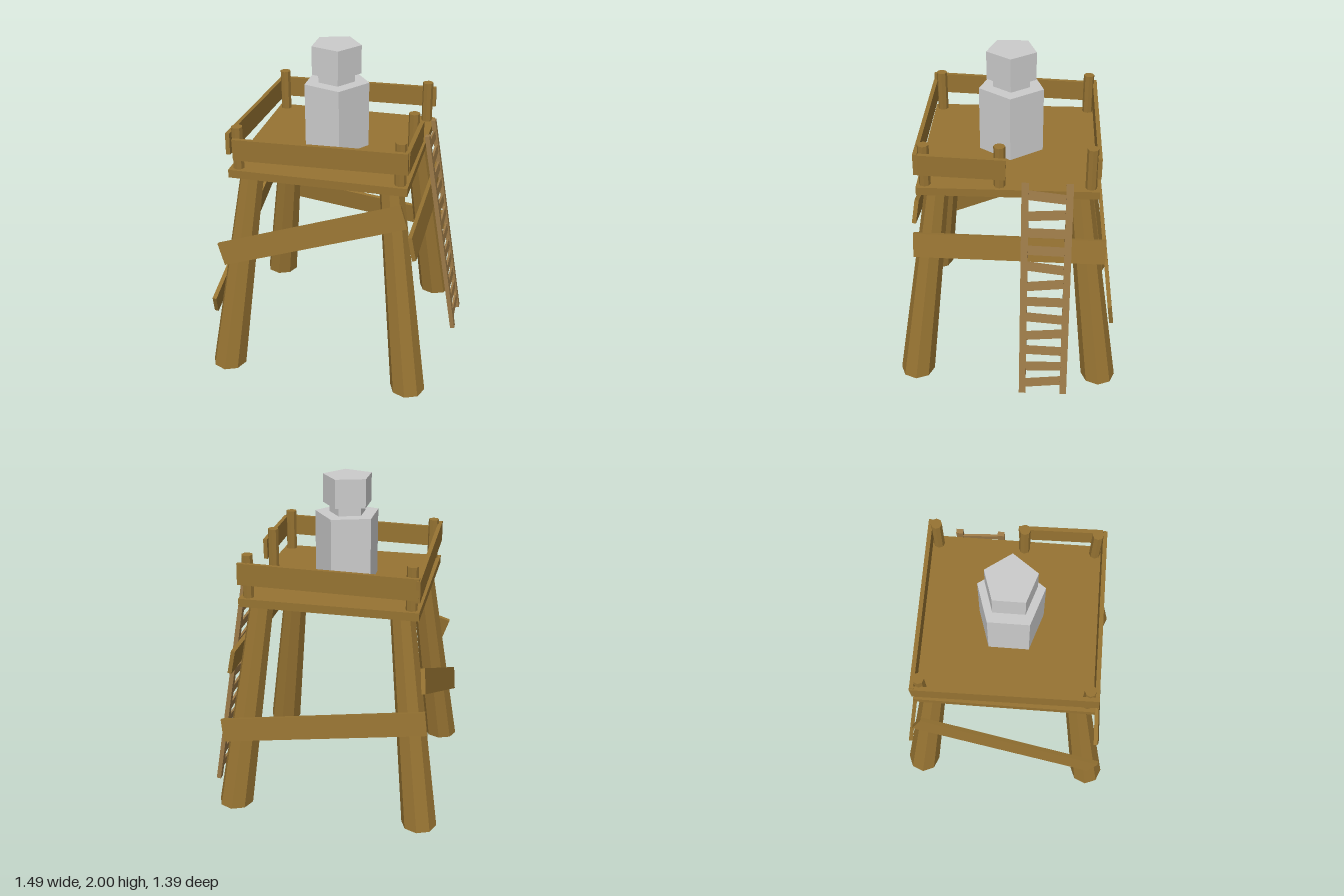
import * as THREE from 'three';

const material = (color) => new THREE.MeshStandardMaterial({ color, flatShading: true });
const V = (x, y, z) => new THREE.Vector3(x, y, z);

export function createModel() {
  const group = new THREE.Group();
  const wood = material(0x967332);
  const ladderWood = material(0x9c7a48);
  const stone = material(0xcccccc);
  const CX = -0.053; // centre of the wooden frame

  const add = (name, geometry, mat, parent = group) => {
    const mesh = new THREE.Mesh(geometry, mat);
    mesh.name = name;
    parent.add(mesh);
    return mesh;
  };

  // Board between two end centres, its broad face turned towards "outward"
  const board = (name, a, b, width, thickness, outward, mat = wood, parent = group) => {
    const along = b.clone().sub(a);
    const mesh = add(name, new THREE.BoxGeometry(along.length(), width, thickness), mat, parent);
    const x = along.clone().normalize();
    const z = outward.clone().addScaledVector(x, -outward.dot(x)).normalize();
    const y = z.clone().cross(x);
    mesh.quaternion.setFromRotationMatrix(new THREE.Matrix4().makeBasis(x, y, z));
    mesh.position.copy(a).add(b).multiplyScalar(0.5);
    return mesh;
  };

  // Four splayed, tapered legs with level ends
  for (const sx of [-1, 1]) {
    for (const sz of [-1, 1]) {
      const geometry = new THREE.CylinderGeometry(0.072, 0.108, 1.32, 8);
      const p = geometry.attributes.position;
      for (let i = 0; i < p.count; i++) {
        const offset = 0.585 - 0.165 * (p.getY(i) / 1.32 + 0.5);
        p.setX(i, p.getX(i) + sx * offset);
        p.setZ(i, p.getZ(i) + sz * offset);
      }
      geometry.computeVertexNormals();
      add(`${sz > 0 ? 'front' : 'back'}${sx > 0 ? 'Left' : 'Right'}Leg`, geometry, wood)
        .position.set(CX, 0.66, 0);
    }
  }

  // Platform
  add('platform', new THREE.BoxGeometry(1.065, 0.05, 1.065), wood).position.set(CX, 1.335, 0);

  // Railing posts: the corners plus one beside the ladder opening
  for (const [x, z] of [[-0.535, -0.483], [0.43, -0.483], [-0.535, 0.483], [0.43, 0.483], [0.43, 0.048]]) {
    add('railingPost', new THREE.CylinderGeometry(0.034, 0.034, 0.28, 8), wood).position.set(x, 1.48, z);
  }

  // Slightly crooked railing boards
  board('frontRailing', V(-0.55, 1.493, 0.527), V(0.48, 1.513, 0.527), 0.13, 0.025, V(0, 0, 1));
  board('backRailing', V(0.48, 1.512, -0.523), V(-0.58, 1.497, -0.523), 0.13, 0.025, V(0, 0, -1));
  board('rightRailing', V(-0.575, 1.485, -0.535), V(-0.575, 1.53, 0.54), 0.13, 0.025, V(-1, 0, 0));
  board('leftRailing', V(0.473, 1.513, 0.515), V(0.473, 1.493, 0.01), 0.13, 0.025, V(1, 0, 0));

  // Cross boards nailed to the leaning legs
  board('frontBrace', V(-0.64, 0.81, 0.59), V(0.47, 1.185, 0.545), 0.142, 0.025, V(0, 0.13, 1));
  board('backBrace', V(0.58, 0.53, -0.637), V(-0.66, 0.705, -0.605), 0.142, 0.025, V(0, 0.13, -1));
  board('leftBrace', V(0.523, 0.985, 0.56), V(0.523, 0.968, -0.585), 0.152, 0.025, V(1, 0.2, 0));
  board('rightBrace', V(-0.625, 0.95, -0.55), V(-0.705, 0.43, 0.6), 0.15, 0.025, V(-1, 0.13, 0));

  // Ladder leaning against the platform
  const ladder = new THREE.Group();
  ladder.name = 'ladder';
  group.add(ladder);
  const lean = V(1, 0.17, 0);
  const ladderX = (y) => 0.728 - 0.166 * y;
  for (const z of [-0.103, -0.36]) {
    board('ladderSide', V(ladderX(0.005), 0.005, z), V(ladderX(1.415), 1.415, z), 0.042, 0.028, lean, ladderWood, ladder);
  }
  const rungTilts = [0.015, 0.004, -0.004, 0.012, -0.01, -0.002, 0.014, -0.016, -0.004, -0.002, 0.008, -0.014];
  rungTilts.forEach((tilt, i) => {
    const y = 0.085 + i * 0.1135;
    const x = ladderX(y);
    board('rung', V(x, y - tilt, -0.11), V(x, y + tilt, -0.352), 0.055, 0.014, lean, ladderWood, ladder);
  });

  // Five-sided stone turret: body, neck and head
  for (const [name, radius, bottom, top] of [
    ['turretBody', 0.2045, 1.35, 1.77],
    ['turretNeck', 0.116, 1.76, 1.835],
    ['turretHead', 0.156, 1.825, 2],
  ]) {
    const geometry = new THREE.CylinderGeometry(radius, radius, top - bottom, 5, 1, false, Math.PI / 2);
    add(name, geometry, stone).position.set(-0.063, (top + bottom) / 2, 0);
  }

  return group;
}
